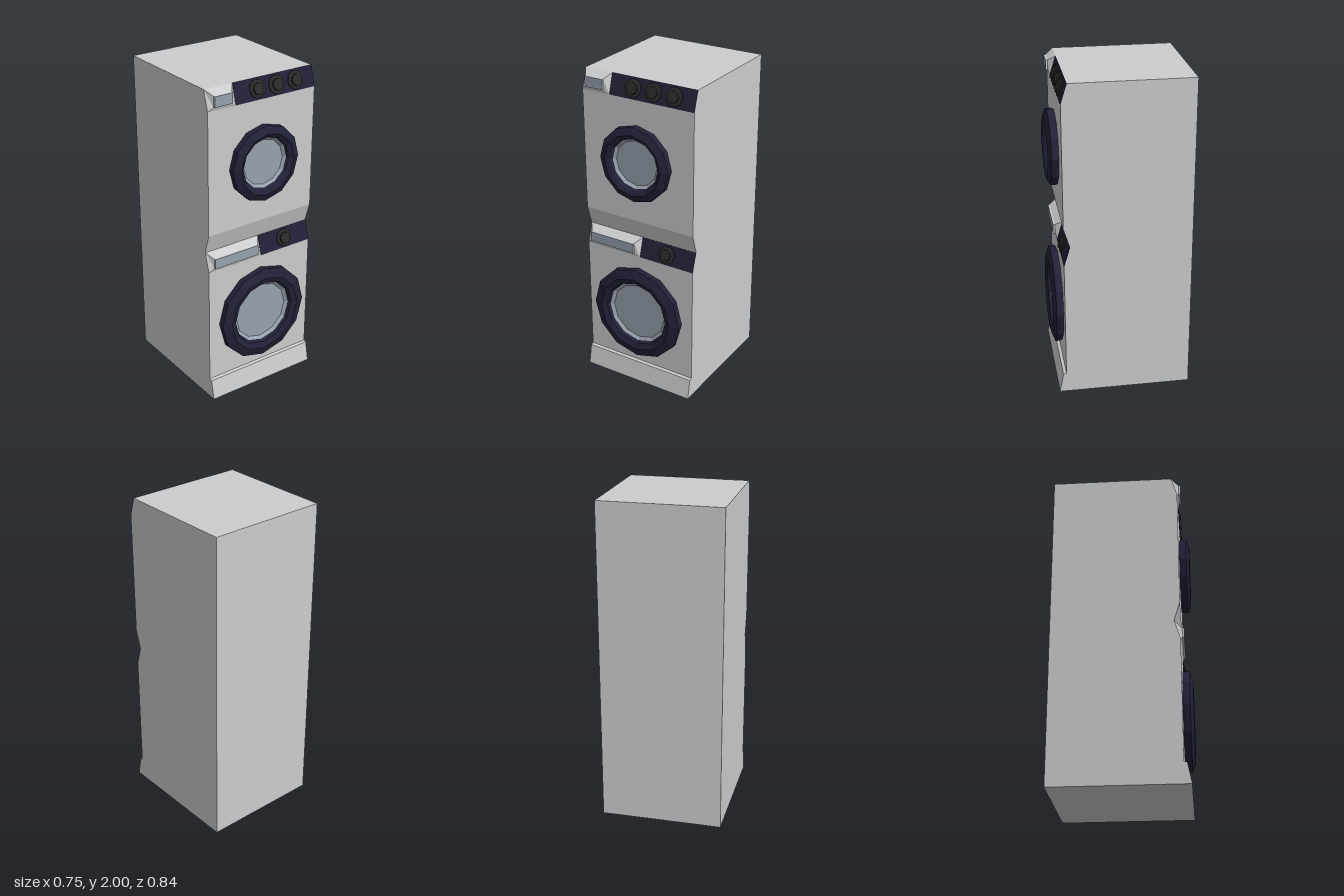
import * as THREE from 'three';

const mat = (name, color) => new THREE.MeshStandardMaterial({ name, color });

// Split vertices so every face is flat
function flat(geo) {
  const g = geo.index ? geo.toNonIndexed() : geo;
  g.computeVertexNormals();
  return g;
}

// Faceted solid of revolution about the z axis, from [radius, z] points
function turned(points, sides, start = 0) {
  const g = new THREE.LatheGeometry(points.map(p => new THREE.Vector2(...p)), sides, start);
  return flat(g.rotateX(Math.PI / 2));
}

// Joins two rectangles given as counter-clockwise corners seen from the front
function frustum(back, front) {
  const g = new THREE.BufferGeometry();
  g.setAttribute('position', new THREE.Float32BufferAttribute([...back, ...front].flat(), 3));
  const index = [4, 5, 6, 4, 6, 7];
  for (let i = 0; i < 4; i++) {
    const j = (i + 1) % 4;
    index.push(i, j, j + 4, i, j + 4, i + 4);
  }
  g.setIndex(index);
  return flat(g);
}

export function createModel() {
  const group = new THREE.Group();
  const white = mat('bodyGrey', 0xcbcccd);
  const navy = mat('darkNavy', 0x222138);
  const glass = mat('glassBlueGrey', 0x98a1ae);
  const charcoal = mat('knobCharcoal', 0x2b2b29);

  const add = (name, geo, material, parent = group) => {
    const mesh = new THREE.Mesh(geo, material);
    mesh.name = name;
    parent.add(mesh);
    return mesh;
  };

  // Stacked cabinets: one side profile (z, y) swept across the width
  const W = 0.75;
  const profile = new THREE.Shape([
    [-0.42, 0], [0.4, 0], [0.376, 0.125], [0.357, 0.13], [0.357, 0.88], [0.32, 1],
    [0.357, 1.12], [0.357, 1.88], [0.32, 2], [-0.42, 2],
  ].map(p => new THREE.Vector2(...p)));
  const body = new THREE.ExtrudeGeometry(profile, { depth: W, bevelEnabled: false });
  body.translate(0, 0, -W / 2).rotateY(-Math.PI / 2);
  add('cabinet', flat(body), white);

  // Round doors with a bevelled frame and sunken glass
  function door(name, y, outer, ridge, inner, pane) {
    const g = new THREE.Group();
    g.name = name;
    g.position.y = y;
    add('doorFrame', turned([[outer * 0.98, 0.355], [outer, 0.37], [outer, 0.4], [ridge, 0.42],
      [inner + 0.01, 0.405], [inner, 0.385]], 12), navy, g);
    add('doorGlass', turned([[inner, 0.385], [pane, 0.37], [0, 0.37]], 12), glass, g);
    group.add(g);
  }
  door('lowerDoor', 0.5, 0.307, 0.25, 0.203, 0.184);
  door('upperDoor', 1.5, 0.234, 0.19, 0.156, 0.14);

  // Sloped control strip: drawer on one side, dark panel with knobs on the other
  const tilt = Math.atan2(0.037, 0.12);
  function controls(name, top, split, knobs) {
    const g = new THREE.Group();
    g.name = name;
    const x0 = -W / 2, a = x0 + 0.033, b = split - 0.035;
    const y0 = top - 0.095, y1 = top - 0.032;
    add('drawer', frustum(
      [[x0, top - 0.12, 0.357], [split, top - 0.12, 0.357], [split, top, 0.32], [x0, top, 0.32]],
      [[a, y0, 0.366], [b, y0, 0.366], [b, y1, 0.366], [a, y1, 0.366]]), white, g);
    const rim = new THREE.BoxGeometry(b - a, y1 - y0, 0.012);
    add('drawerFront', rim.translate((a + b) / 2, (y0 + y1) / 2, 0.37), white, g);
    const face = new THREE.BoxGeometry(b - a, y1 - y0, 0.002);
    add('drawerPane', face.translate((a + b) / 2, (y0 + y1) / 2, 0.377), glass, g);

    const slope = new THREE.Group();
    slope.name = 'controlPanel';
    slope.position.set(0, top - 0.06, 0.3385);
    slope.rotation.x = -tilt;
    const plate = new THREE.BoxGeometry(W / 2 - split, 0.1256, 0.004);
    add('panelPlate', plate.translate((W / 2 + split) / 2, 0, 0), navy, slope);
    for (const x of knobs) {
      const knob = turned([[0.05, 0], [0.055, 0.006], [0.055, 0.012], [0.036, 0.016],
        [0.034, 0.026], [0, 0.026]], 10, Math.PI / 2);
      add('knob', knob, charcoal, slope).position.x = x;
    }
    g.add(slope);
    group.add(g);
  }
  controls('lowerControls', 1, 0.006, [0.187]);
  controls('upperControls', 2, -0.186, [-0.031, 0.103, 0.239]);

  return group;
}
